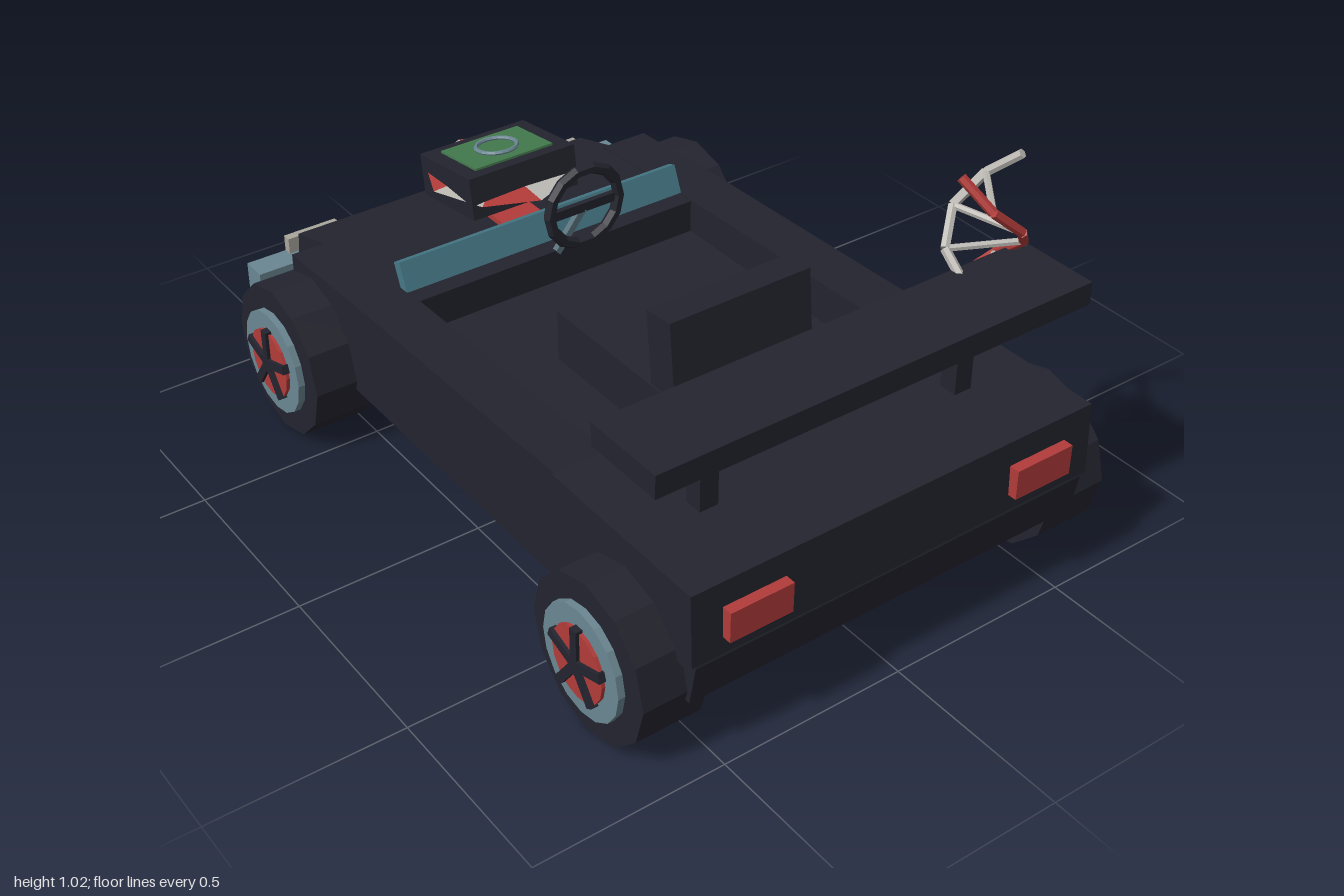
import * as THREE from 'three';

const mat = (name, color) => {
  const m = new THREE.MeshStandardMaterial({ color, flatShading: true });
  m.name = name;
  return m;
};

export function createModel() {
  const car = new THREE.Group();
  car.name = 'buggy';
  const dark = mat('charcoal', 0x24242f);
  const red = mat('red', 0xb23c3a);
  const slate = mat('slate', 0x6b8792);
  const teal = mat('teal', 0x457886);
  const green = mat('green', 0x437a4d);
  const white = mat('white', 0xbdbab4);
  const beige = mat('lampBeige', 0xa9a79c);

  const add = (name, geo, material, parent = car) => {
    const m = new THREE.Mesh(geo, material);
    m.name = name;
    parent.add(m);
    return m;
  };
  // box given by its limits on each axis
  const box = (name, [x0, x1], [y0, y1], [z0, z1], material, parent) => {
    const m = add(name, new THREE.BoxGeometry(x1 - x0, y1 - y0, z1 - z0), material, parent);
    m.position.set((x0 + x1) / 2, (y0 + y1) / 2, (z0 + z1) / 2);
    return m;
  };
  // side profile of [z, y] points, extruded across x
  const profile = (name, pts, width, cx, material) => {
    const shape = new THREE.Shape(pts.map(([z, y]) => new THREE.Vector2(z, y)));
    const g = new THREE.ExtrudeGeometry(shape, { depth: width, bevelEnabled: false });
    g.translate(0, 0, -width / 2).rotateY(-Math.PI / 2);
    const m = add(name, g, material);
    m.position.x = cx;
    return m;
  };
  // round bar between two points
  const bar = (name, a, b, r, material, parent) => {
    const d = b.clone().sub(a);
    const m = add(name, new THREE.CylinderGeometry(r, r, d.length(), 6), material, parent);
    m.position.copy(a).add(b).multiplyScalar(0.5);
    m.quaternion.setFromUnitVectors(new THREE.Vector3(0, 1, 0), d.normalize());
    return m;
  };
  const V = (x, y, z) => new THREE.Vector3(x, y, z);

  // Body: lower tub with cockpit floor, tail deck, nose and side rails
  profile('tub', [[0.955, 0.18], [0.975, 0.29], [0.95, 0.36], [-0.8, 0.36], [-0.9, 0.29], [-0.88, 0.18]], 1.13, 0, dark);
  profile('tailDeck', [[0.96, 0.285], [0.978, 0.3], [0.97, 0.49], [0.46, 0.49], [0.46, 0.285]], 1.155, 0, dark);
  profile('nose', [[-0.36, 0.3], [-0.36, 0.453], [-0.74, 0.436], [-0.94, 0.38], [-0.96, 0.21], [-0.88, 0.2]], 0.92, 0, dark);
  for (const s of [1, -1]) {
    profile('sideRail', [[0.47, 0.3], [0.47, 0.485], [0.3, 0.475], [-0.4, 0.455], [-0.77, 0.437], [-0.77, 0.3]], 0.14, s * 0.495, dark);
    box('tailLight', [s * 0.41 - 0.085, s * 0.41 + 0.085], [0.345, 0.425], [0.96, 1], red);
    box('wingStrut', [s * 0.37 - 0.025, s * 0.37 + 0.025], [0.48, 0.72], [0.71, 0.76], dark);
    box('headlight', [s * 0.397 - 0.078, s * 0.397 + 0.078], [0.27, 0.35], [-1, -0.975], beige);
  }
  box('rearWing', [-0.613, 0.613], [0.71, 0.77], [0.67, 0.895], dark);
  box('frontBumper', [-0.592, 0.592], [0.22, 0.305], [-0.998, -0.925], slate);

  // Seat
  box('seatBase', [-0.21, 0.21], [0.36, 0.5], [-0.06, 0.38], dark);
  const back = box('seatBack', [-0.205, 0.205], [0.46, 0.7], [0.315, 0.405], dark);
  back.rotation.x = -0.1;
  add('seatPad', new THREE.BoxGeometry(0.31, 0.17, 0.02), dark, back).position.set(0, 0.01, -0.045);

  // Dashboard and steering
  box('dashboard', [-0.43, 0.43], [0.445, 0.525], [-0.455, -0.425], teal).rotation.x = -0.4;
  add('steeringWheel', new THREE.TorusGeometry(0.105, 0.016, 6, 14), dark).position.set(0, 0.64, -0.245);
  box('steeringSpoke', [-0.1, 0.1], [0.625, 0.65], [-0.255, -0.24], dark);
  bar('steeringColumn', V(0, 0.44, -0.375), V(0, 0.635, -0.25), 0.014, slate);

  // Wheels
  for (const s of [1, -1]) for (const z of [0.74, -0.67]) {
    const wheel = new THREE.Group();
    wheel.name = z > 0 ? 'rearWheel' : 'frontWheel';
    wheel.position.set(0, 0.208, z);
    car.add(wheel);
    const disc = (name, r, x0, x1, n, m) => {
      const g = new THREE.CylinderGeometry(r, r, x1 - x0, n).rotateZ(Math.PI / 2);
      add(name, g, m, wheel).position.x = s * (x0 + x1) / 2;
    };
    disc('tyre', 0.208, 0.507, 0.68, 12, dark);
    disc('rim', 0.143, 0.66, 0.698, 16, slate);
    disc('hubDisc', 0.095, 0.68, 0.707, 16, red);
    disc('hubCap', 0.025, 0.69, 0.716, 8, dark);
    for (let i = 0; i < 5; i++) {
      const g = new THREE.BoxGeometry(0.02, 0.1, 0.024).translate(s * 0.706, 0.05, 0);
      add('wheelSpoke', g.rotateX(i * Math.PI * 0.4), dark, wheel);
    }
  }

  // Double helix on the tail deck
  const helix = new THREE.Group();
  helix.name = 'doubleHelix';
  helix.position.set(0.483, 0.53, 0.675);
  car.add(helix);
  const steps = 7;
  const strand = (i, s) => {
    const a = (i / steps) * Math.PI * 2;
    return V(-s * 0.094 * Math.cos(a), 0.485 * (1 - i / steps), s * 0.094 * Math.sin(a));
  };
  for (let i = 0; i <= steps; i++) {
    if (i > 0) {
      bar('redStrand', strand(i - 1, 1), strand(i, 1), 0.012, red, helix);
      bar('whiteStrand', strand(i - 1, -1), strand(i, -1), 0.012, white, helix);
      bar('rung', strand(i, 1), strand(i, -1), 0.009, white, helix);
    }
  }

  // Bonnet ornament: red slat, striped disc, tilted box with green top and ring
  box('bonnetSlat', [-0.06, 0.06], [0.45, 0.465], [-0.89, -0.46], red);
  const ornament = new THREE.Group();
  ornament.name = 'bonnetOrnament';
  ornament.position.set(0, 0.562, -0.645);
  car.add(ornament);
  for (let i = 0; i < 8; i++) {
    const g = new THREE.ConeGeometry(0.203, 0.016, 1, 1, false, Math.PI + i * Math.PI / 4, Math.PI / 4);
    const low = g.clone().rotateZ(Math.PI);
    const m = i % 2 ? red : white;
    g.translate(0, 0.008, 0);
    low.translate(0, -0.008, 0);
    add('discSectorTop', g, m, ornament);
    // the turned copy lands on the mirrored sector, which carries the other colour
    add('discSectorUnder', low, i % 2 ? white : red, ornament);
  }
  const crate = new THREE.Group();
  crate.name = 'tiltedBox';
  crate.rotation.x = -0.14;
  ornament.add(crate);
  box('boxShell', [-0.163, 0.163], [-0.058, 0.058], [-0.125, 0.125], dark, crate);
  box('greenPanel', [-0.12, 0.12], [0.055, 0.064], [-0.088, 0.088], green, crate);
  const ring = add('panelRing', new THREE.TorusGeometry(0.055, 0.006, 6, 20), slate, crate);
  ring.rotation.x = Math.PI / 2;
  ring.position.y = 0.068;

  return car;
}
